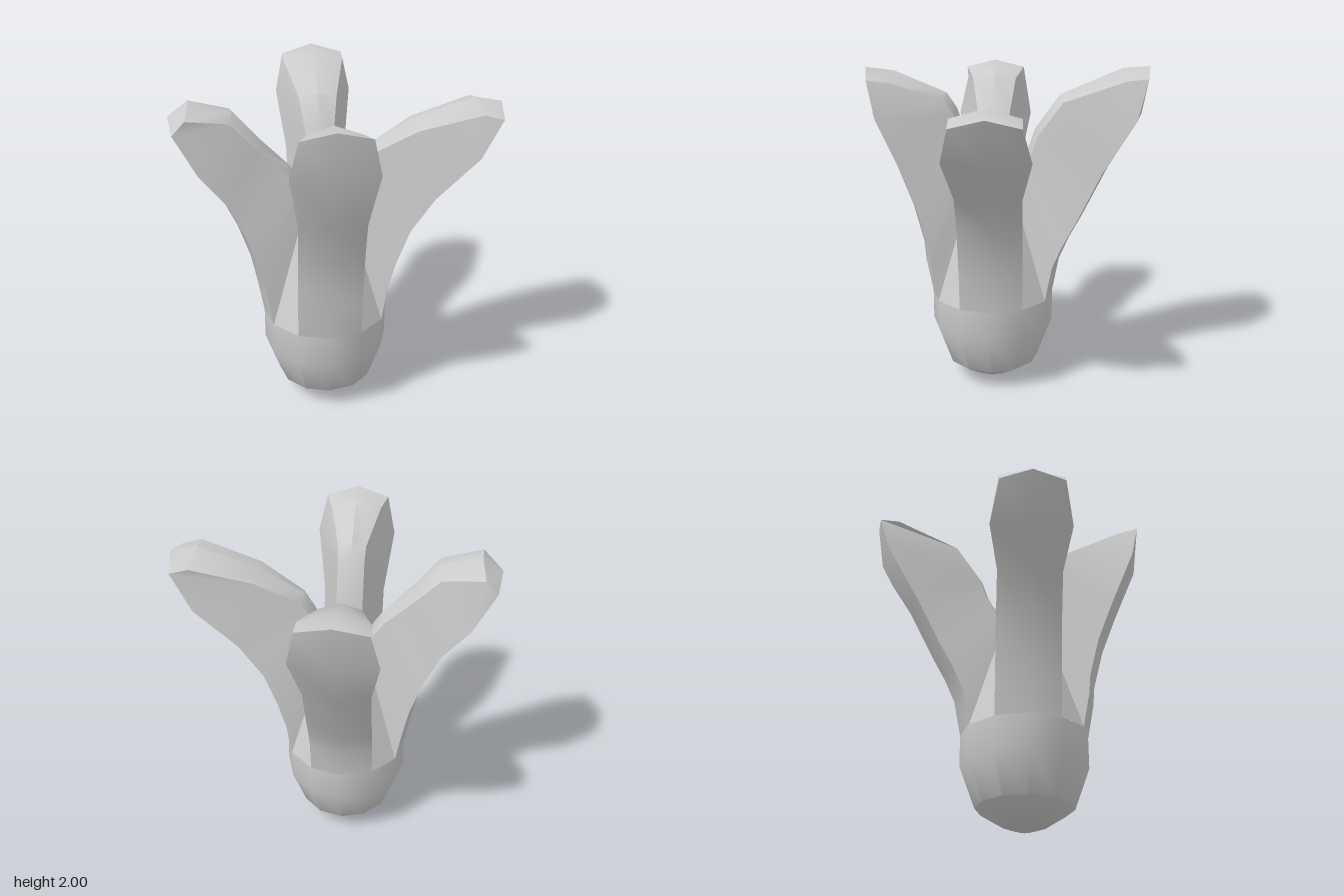
import * as THREE from 'three';
import { toCreasedNormals } from 'three/addons/utils/BufferGeometryUtils.js';

const CREASE = 0.7;
const material = new THREE.MeshStandardMaterial({ color: 0xcccccc });

function addMesh(parent, geometry, name) {
  const mesh = new THREE.Mesh(toCreasedNormals(geometry, CREASE), material);
  mesh.name = name;
  parent.add(mesh);
  return mesh;
}

function fromFaces(points, index) {
  const g = new THREE.BufferGeometry();
  g.setAttribute('position', new THREE.Float32BufferAttribute(points.flat(), 3));
  g.setIndex(index);
  return g;
}

// Half width of the outer face at each station from base to tip
const HALF_WIDTHS = [0.19, 0.19, 0.19, 0.19, 0.19, 0.24, 0.19];

// Each station: outer radius, outer height, inner radius, inner height
function petalGeometry(stations) {
  const points = [], index = [];
  const last = stations.length - 1;
  stations.forEach(([ro, yo, ri, yi], i) => {
    const tip = i === last;
    const w = HALF_WIDTHS[i];
    const wi = 0.08 + 0.11 * THREE.MathUtils.clamp((ri - 0.25) / 0.5, 0, 1);
    const re = ro - (tip ? 0.03 : 0.05);
    const ye = yo - (tip ? 0.05 : 0);
    const drop = i === 0 ? 0 : tip ? 0.05 : 0.03;
    const rie = ri + (i === 0 ? 0 : 0.015);
    points.push(
      [re, ye, -w], [ro, yo, 0], [re, ye, w],
      [rie, yi - drop, wi], [ri, yi, 0], [rie, yi - drop, -wi]);
  });
  for (let i = 0; i < last; i++) {
    for (let j = 0; j < 6; j++) {
      const a = i * 6 + j, b = i * 6 + (j + 1) % 6;
      index.push(a, a + 6, b + 6, a, b + 6, b);
    }
  }
  // Tip cap
  const t = last * 6;
  index.push(t, t + 5, t + 4, t, t + 4, t + 1, t + 1, t + 4, t + 3, t + 1, t + 3, t + 2);
  return fromFaces(points, index);
}

const PETALS = [
  { name: 'leftPetal', turn: 0, stations: [
    [0.38, 0.57, 0.126, 1.27], [0.41, 0.77, 0.13, 1.38], [0.46, 0.95, 0.15, 1.46],
    [0.54, 1.16, 0.19, 1.54], [0.68, 1.36, 0.25, 1.64], [0.92, 1.62, 0.51, 1.79],
    [1.03, 1.88, 0.87, 1.91]] },
  { name: 'frontPetal', turn: -Math.PI / 2, stations: [
    [0.38, 0.57, 0.126, 1.27], [0.42, 0.78, 0.11, 1.4], [0.43, 0.9, 0.13, 1.52],
    [0.49, 1.14, 0.17, 1.64], [0.58, 1.38, 0.21, 1.75], [0.72, 1.72, 0.27, 1.84],
    [0.75, 1.99, 0.58, 1.97]] },
  { name: 'rightPetal', turn: Math.PI, stations: [
    [0.38, 0.57, 0.126, 1.27], [0.41, 0.75, 0.13, 1.38], [0.45, 0.95, 0.15, 1.45],
    [0.52, 1.16, 0.21, 1.54], [0.62, 1.37, 0.37, 1.7], [0.77, 1.58, 0.52, 1.87],
    [0.88, 1.85, 0.76, 1.93]] },
  { name: 'backPetal', turn: Math.PI / 2, stations: [
    [0.38, 0.57, 0.126, 1.27], [0.42, 0.79, 0.15, 1.36], [0.48, 0.93, 0.18, 1.43],
    [0.56, 1.08, 0.22, 1.5], [0.71, 1.39, 0.26, 1.62], [0.9, 1.72, 0.41, 1.83],
    [0.94, 2.0, 0.78, 1.99]] },
];

export function createModel() {
  const model = new THREE.Group();
  const flower = new THREE.Group();
  flower.name = 'flower';
  flower.position.set(-0.08, 0, 0.1);
  model.add(flower);

  // Rounded twelve-sided base
  const profile = [[0, 0], [0.05, 0.003], [0.14, 0.035], [0.29, 0.13], [0.38, 0.38], [0.38, 0.57]]
    .map(([r, y]) => new THREE.Vector2(r, y));
  addMesh(flower, new THREE.LatheGeometry(profile, 12), 'base');

  // Four petals around the base
  for (const { name, turn, stations } of PETALS) {
    addMesh(flower, petalGeometry(stations), name).rotation.y = turn;
  }

  // Tapering panels between petals, closed by the floor of the cup
  const points = [[0, 1.26, 0]], index = [];
  for (let k = 0; k < 4; k++) {
    const c = Math.round(Math.cos(k * Math.PI / 2)), s = Math.round(Math.sin(k * Math.PI / 2));
    const put = (x, y, z) => points.push([x * c - z * s, y, x * s + z * c]);
    put(0.33, 0.57, 0.19);
    put(0.19, 0.57, 0.33);
    put(0.08, 1.27, 0.126);
    put(0.126, 1.27, 0.08);
    const n = 1 + k * 4, next = 1 + ((k + 1) % 4) * 4;
    index.push(n, n + 3, n + 2, n, n + 2, n + 1);
    index.push(0, n + 2, n + 3, 0, next + 3, n + 2);
  }
  addMesh(flower, fromFaces(points, index), 'core');

  return model;
}
